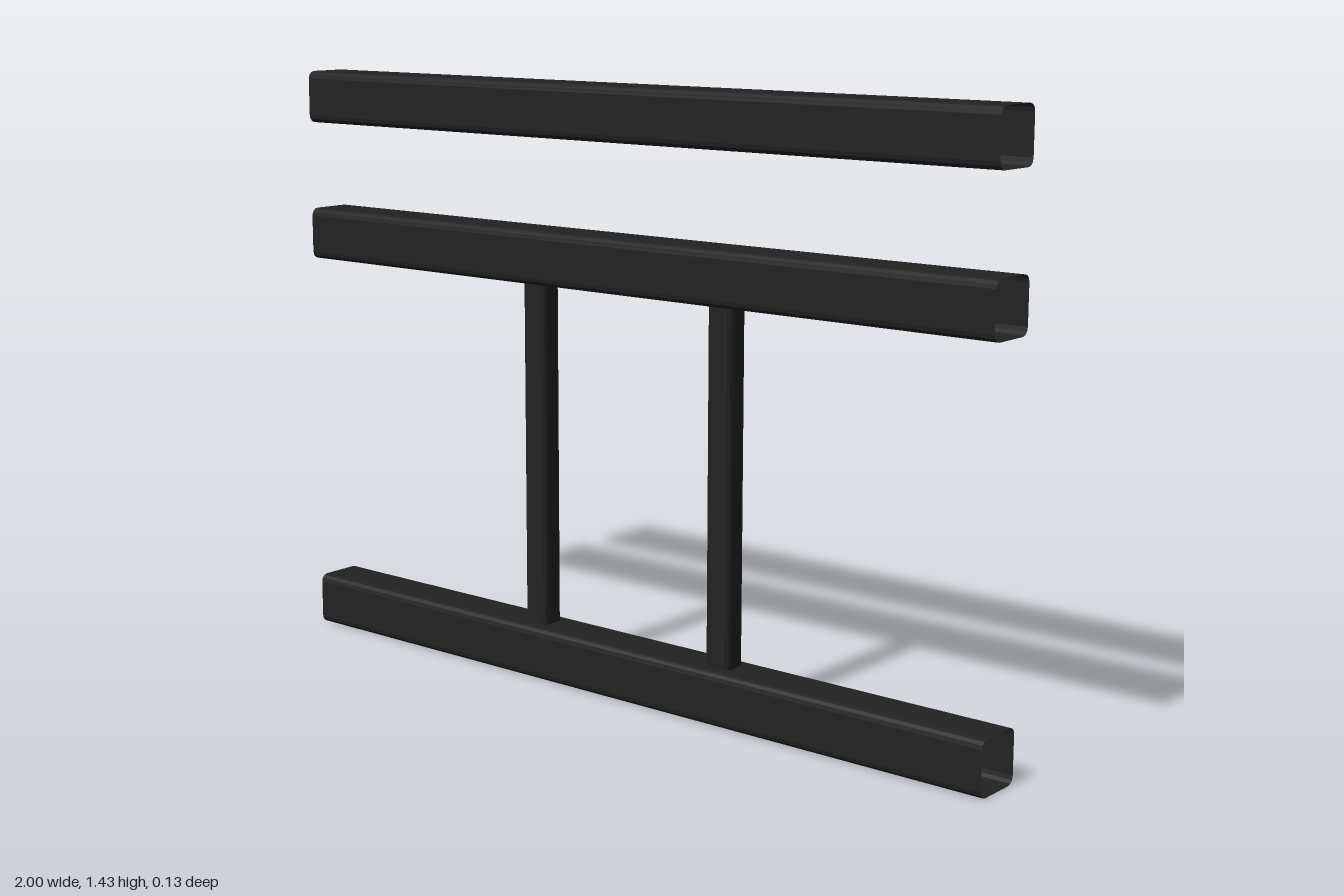
import * as THREE from 'three';

// Open-ended square tube with rounded corners, running along y and centred
function tubeGeometry(width, radius, length, arcSteps = 3) {
  const c = width / 2 - radius;
  const ring = [];
  [[1, 1], [-1, 1], [-1, -1], [1, -1]].forEach(([sx, sz], corner) => {
    for (let i = 0; i <= arcSteps; i++) {
      const a = (corner + i / arcSteps) * Math.PI / 2;
      ring.push([sx * c + radius * Math.cos(a), sz * c + radius * Math.sin(a)]);
    }
  });
  const h = length / 2;
  const positions = [];
  ring.forEach(([x0, z0], i) => {
    const [x1, z1] = ring[(i + 1) % ring.length];
    positions.push(
      x0, -h, z0, x0, h, z0, x1, h, z1,
      x0, -h, z0, x1, h, z1, x1, -h, z1,
    );
  });
  const geometry = new THREE.BufferGeometry();
  geometry.setAttribute('position', new THREE.Float32BufferAttribute(positions, 3));
  geometry.computeVertexNormals();
  return geometry;
}

export function createModel() {
  const group = new THREE.Group();
  group.name = 'tubeFrame';
  const blackSteel = new THREE.MeshStandardMaterial({ color: 0x222222, side: THREE.DoubleSide });
  blackSteel.name = 'blackSteel';

  const add = (name, geometry, x, y) => {
    const mesh = new THREE.Mesh(geometry, blackSteel);
    mesh.name = name;
    mesh.position.set(x, y, 0);
    group.add(mesh);
  };

  // Horizontal rails
  const rail = tubeGeometry(0.128, 0.018, 2).rotateZ(Math.PI / 2);
  add('bottomRail', rail, 0, 0.064);
  add('middleRail', rail, 0, 1.024);
  add('topRail', rail, 0, 1.368);

  // Upright posts, running into the lower two rails
  const post = tubeGeometry(0.066, 0.017, 1.03);
  add('leftPost', post, 0.277, 0.545);
  add('rightPost', post, -0.277, 0.545);

  return group;
}
